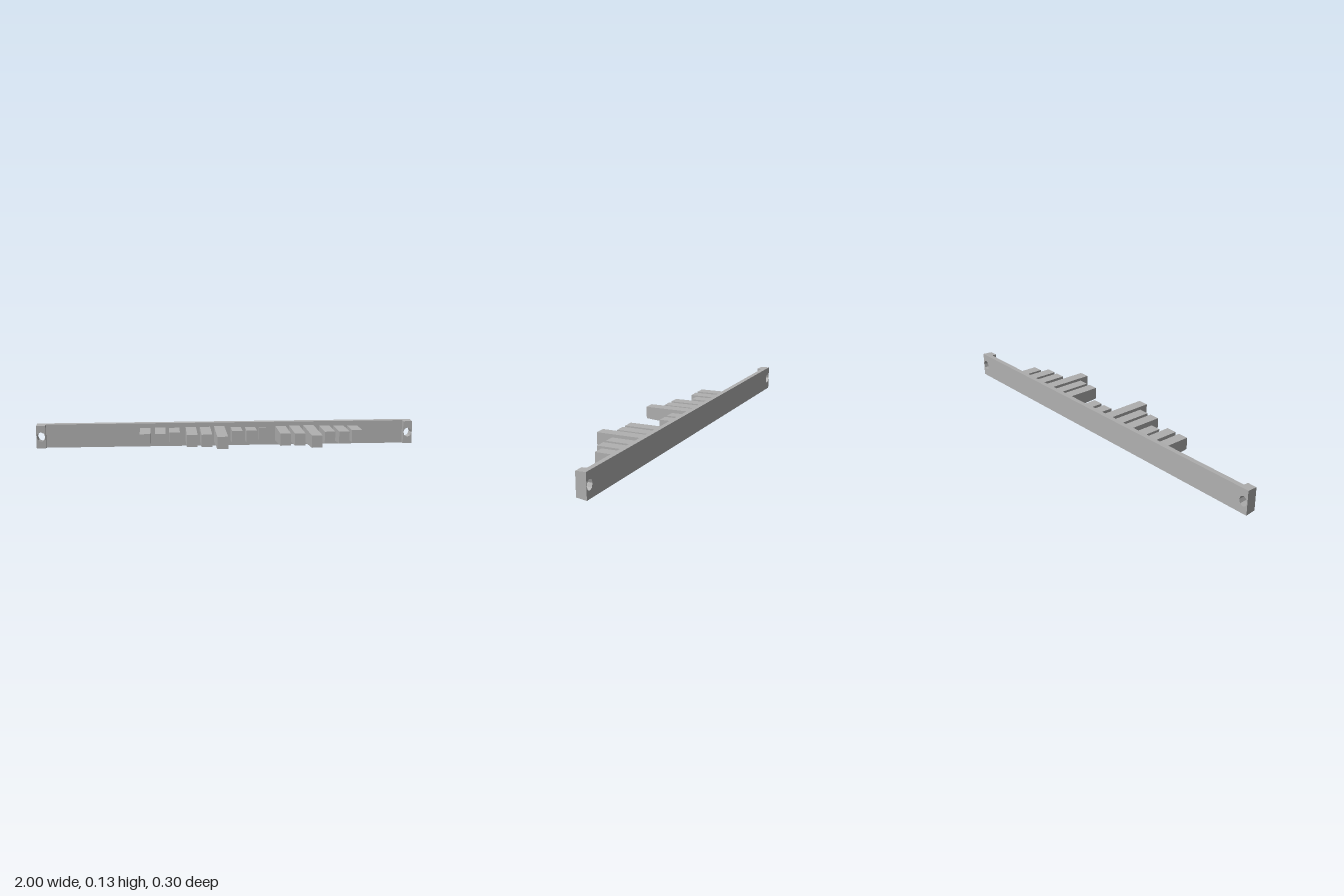
import * as THREE from 'three';

const BACK = -0.148, PLATE_FRONT = -0.12, END_FRONT = -0.094, TIP_HALF = 0.0315;
const MID_Y = 0.064;

// Scale heights about the centre line as a linear function of z
function taper(geo, z0, half0, z1, half1) {
  const p = geo.attributes.position;
  for (let i = 0; i < p.count; i++) {
    const t = (p.getZ(i) - z0) / (z1 - z0);
    p.setY(i, p.getY(i) * (half0 + (half1 - half0) * t));
  }
  geo.computeVertexNormals();
  return geo;
}

// Box of unit half height, spanning x0..x1 and z0..z1
function slab(x0, x1, z0, z1) {
  return new THREE.BoxGeometry(x1 - x0, 2, z1 - z0).translate((x0 + x1) / 2, 0, (z0 + z1) / 2);
}

export function createModel() {
  const group = new THREE.Group();
  const grey = new THREE.MeshStandardMaterial({ color: 0xb0b0b0, flatShading: true });
  grey.name = 'grey';
  const add = (geo, name) => {
    const mesh = new THREE.Mesh(geo, grey);
    mesh.name = name;
    mesh.position.y = MID_Y;
    group.add(mesh);
  };
  // The bar has a slight draft: taller at the back than at the front
  const H0 = 0.064, H1 = 0.0595;

  // Long back plate between the end blocks
  add(taper(slab(-0.952, 0.952, BACK, PLATE_FRONT), BACK, H0, END_FRONT, H1), 'backPlate');

  // Thicker end blocks, each with a screw hole
  for (const side of [-1, 1]) {
    const cx = side * 0.976, w = 0.024;
    const shape = new THREE.Shape([[-w, -1], [w, -1], [w, 1], [-w, 1]]
      .map(([x, y]) => new THREE.Vector2(cx + x, y)));
    const hole = [];
    for (let i = 0; i < 8; i++) {
      const a = -i * Math.PI / 4;
      hole.push(new THREE.Vector2(cx + 0.022 * Math.cos(a), 0.027 * Math.sin(a) / H0));
    }
    shape.holes.push(new THREE.Path(hole));
    const geo = new THREE.ExtrudeGeometry(shape, { depth: END_FRONT - BACK, bevelEnabled: false });
    geo.translate(0, 0, BACK);
    add(taper(geo, BACK, H0, END_FRONT, H1), side > 0 ? 'leftEndBlock' : 'rightEndBlock');
  }

  // Teeth: [centre x, tip z]; same tip height, growing towards the plate
  const teeth = [
    [-0.433, 0.042], [-0.355, 0.042], [-0.281, 0.003],
    [-0.193, 0.081], [-0.118, 0.081], [-0.042, 0.148],
    [0.047, -0.022], [0.123, -0.022], [0.198, -0.109],
    [0.287, 0.081], [0.362, 0.081], [0.438, 0.148],
    [0.525, 0.042], [0.601, 0.042], [0.677, 0.003],
  ];
  teeth.forEach(([x, z], i) => {
    const root = PLATE_FRONT - 0.005;
    const rootHalf = TIP_HALF + 0.038 * (z - root);
    add(taper(slab(x - 0.0275, x + 0.0275, root, z), root, rootHalf, z, TIP_HALF), 'tooth' + (i + 1));
  });
  return group;
}
